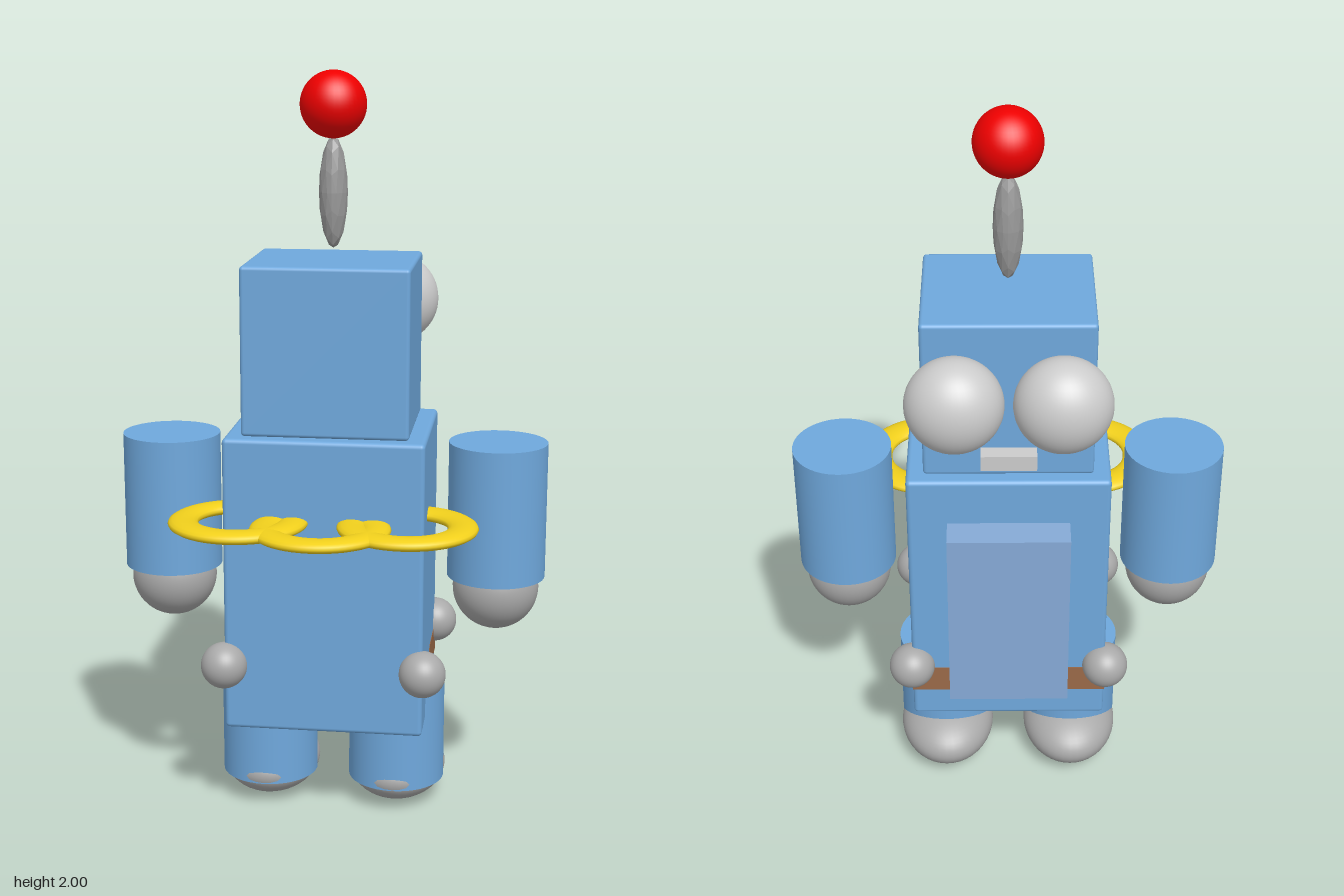
import * as THREE from 'three';
import { RoundedBoxGeometry } from 'three/addons/geometries/RoundedBoxGeometry.js';

const paint = (color, flatShading = false) => new THREE.MeshStandardMaterial({ color, flatShading });
const BLUE = paint(0x6fa8dc), PANEL = paint(0x86aad6), GREY = paint(0xaaaaaa), LIGHT = paint(0xcccccc);
const WHITE = paint(0xeeeeee), RED = paint(0xee0000), GOLD = paint(0xf1d01c), BROWN = paint(0x9a6a48);
const STEEL = paint(0x999999, true);
const Z = -0.02; // body axis

export function createModel() {
  const model = new THREE.Group();
  model.name = 'robot';

  const add = (name, geometry, material, x, y, z, scale = [1, 1, 1]) => {
    const mesh = new THREE.Mesh(geometry, material);
    mesh.name = name;
    mesh.position.set(x, y, z);
    mesh.scale.set(...scale);
    model.add(mesh);
    return mesh;
  };
  const ball = new THREE.SphereGeometry(1, 40, 28);

  // Torso and head
  add('torso', new RoundedBoxGeometry(0.53, 0.8, 0.44, 3, 0.012), BLUE, 0, 0.67, Z);
  add('head', new RoundedBoxGeometry(0.44, 0.445, 0.37, 3, 0.01), BLUE, 0, 1.292, Z);

  // Face and panel, on the -z side
  add('panel', new THREE.BoxGeometry(0.32, 0.54, 0.09), PANEL, 0, 0.67, -0.278);
  add('mouth', new THREE.BoxGeometry(0.14, 0.042, 0.042), LIGHT, 0, 1.203, -0.325);

  // Belt wrapping the panel side of the torso
  add('belt', new THREE.BoxGeometry(0.533, 0.08, 0.2), BROWN, 0, 0.4, -0.1415);

  // Antenna: faceted spindle with a ball on top
  add('antennaStem', new THREE.OctahedronGeometry(1, 3), STEEL, 0, 1.688, Z, [0.038, 0.145, 0.038]);
  add('antennaBall', ball, RED, 0, 1.913, Z, [0.087, 0.087, 0.087]);

  // Mirrored parts
  const limb = (height) => new THREE.CylinderGeometry(0.132, 0.132, height, 40);
  for (const [side, s] of [['left', 1], ['right', -1]]) {
    add(side + 'Eye', ball, WHITE, s * 0.133, 1.365, -0.328, [0.123, 0.125, 0.106]);
    add(side + 'Arm', limb(0.37), BLUE, s * 0.444, 0.848, Z);
    add(side + 'Hand', ball, GREY, s * 0.444, 0.632, Z, [0.116, 0.116, 0.116]);
    add(side + 'Leg', limb(0.31), BLUE, s * 0.178, 0.225, Z);
    add(side + 'Foot', ball, GREY, s * 0.178, 0.088, -0.06, [0.133, 0.088, 0.175]);
    for (const [end, z] of [['Front', 0.203], ['Back', -0.24]])
      add(side + end + 'Knob', ball, GREY, s * 0.265, 0.45, z, [0.062, 0.062, 0.062]);
  }

  // Chain of three flattened rings lying flat
  const ring = new THREE.TorusGeometry(0.144, 0.04, 16, 64);
  ring.rotateX(Math.PI / 2);
  for (const [x, z] of [[-0.222, 0.2], [0, 0.247], [0.222, 0.2]])
    add('chainRing', ring, GOLD, x, 0.85, z, [1, 0.42, 1]);

  return model;
}
